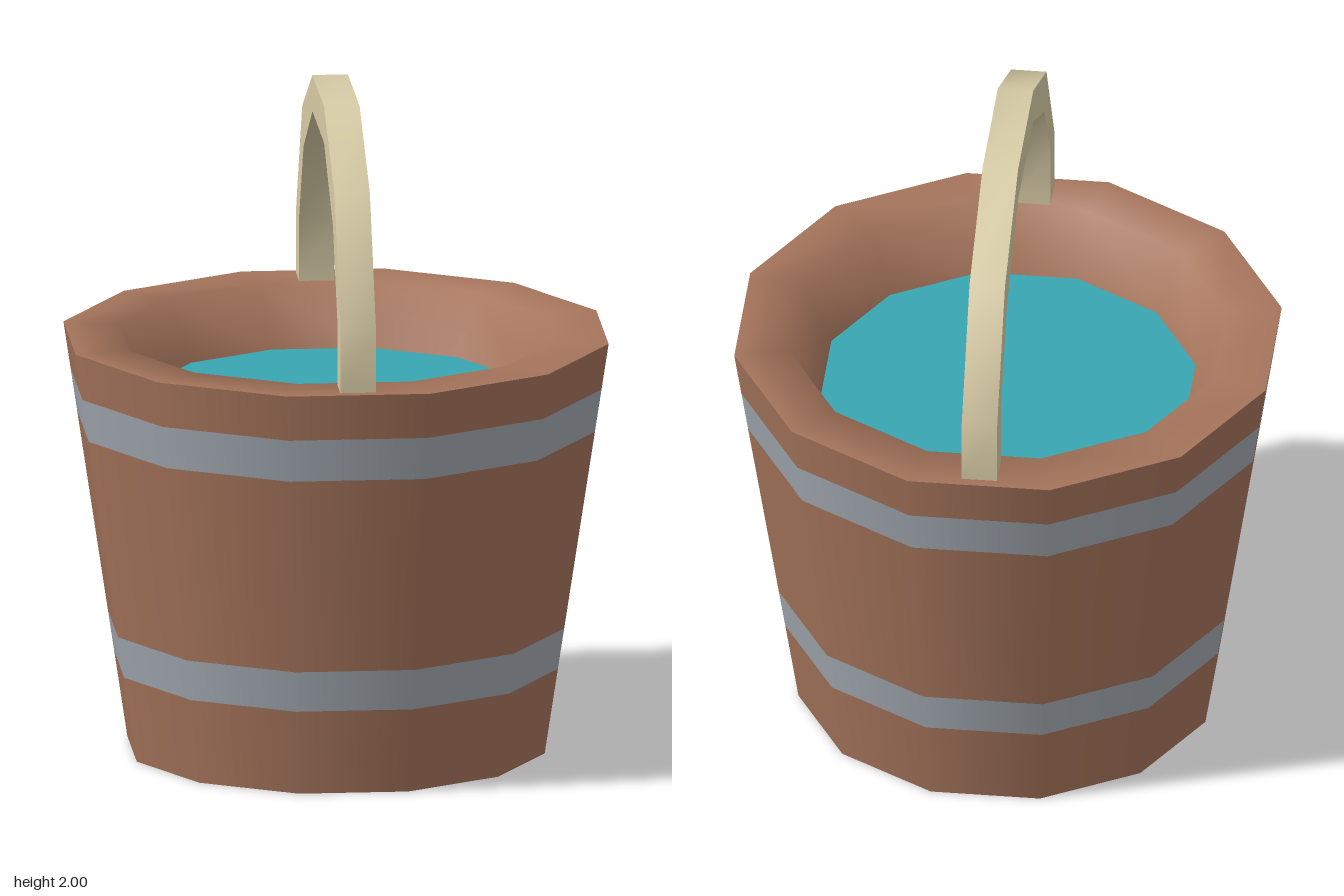
import * as THREE from 'three';
import { toCreasedNormals } from 'three/addons/utils/BufferGeometryUtils.js';

const SIDES = 12;
const HEIGHT = 1.26;
const BOTTOM_R = 0.63;
const TOP_R = 0.823;

function material(name, color) {
  const m = new THREE.MeshStandardMaterial({ color });
  m.name = name;
  return m;
}

export function createModel() {
  const wood = material('wood', 0xa5745b);
  const iron = material('iron', 0xa1a8b0);
  const water = material('water', 0x38a5b1);
  const paleWood = material('paleWood', 0xd8cca6);

  const bucket = new THREE.Group();
  bucket.name = 'bucket';

  const add = (name, geometry, mat) => {
    const mesh = new THREE.Mesh(geometry, mat);
    mesh.name = name;
    bucket.add(mesh);
  };

  // Twelve-sided turned surface with a flat side facing the front
  const turned = (points) => new THREE.LatheGeometry(
    points.map(([r, y]) => new THREE.Vector2(r, y)), SIDES, Math.PI / SIDES);
  const radiusAt = (y) => THREE.MathUtils.lerp(BOTTOM_R, TOP_R, y / HEIGHT);

  // Tapered wall: wooden sections alternating with flush iron hoops
  const wall = [
    ['lowerWall', 0, 0.26, wood],
    ['lowerHoop', 0.26, 0.385, iron],
    ['middleWall', 0.385, 0.99, wood],
    ['upperHoop', 0.99, 1.12, iron],
    ['upperWall', 1.12, HEIGHT, wood],
  ];
  for (const [name, y0, y1, mat] of wall) {
    add(name, turned([[radiusAt(y0), y0], [radiusAt(y1), y1]]), mat);
  }

  // Base, rim with sloping inner wall, and water surface
  add('base', turned([[0, 0], [BOTTOM_R, 0]]), wood);
  add('rimAndInnerWall', turned([[TOP_R, HEIGHT], [0.658, HEIGHT], [0.564, 1.08]]), wood);
  add('waterSurface', turned([[0.564, 1.08], [0, 1.08]]), water);

  // Arched handle: half profile as [z, y], mirrored front to back
  const outer = [[0.765, HEIGHT], [0.765, 1.455], [0.555, 1.82], [0.203, 2]];
  const inner = [[0.66, HEIGHT], [0.66, 1.455], [0.505, 1.71], [0.2, 1.89]];
  const mirror = (half) => half.map(([z, y]) => [-z, y]).reverse();
  const outline = [
    ...outer, ...mirror(outer),
    ...[...inner, ...mirror(inner)].reverse(),
  ].map(([z, y]) => new THREE.Vector2(z, y));
  const width = 0.106;
  const arch = new THREE.ExtrudeGeometry(new THREE.Shape(outline), { depth: width, bevelEnabled: false });
  arch.translate(0, 0, -width / 2);
  arch.rotateY(-Math.PI / 2);
  add('handle', toCreasedNormals(arch, THREE.MathUtils.degToRad(40)), paleWood);

  return bucket;
}
